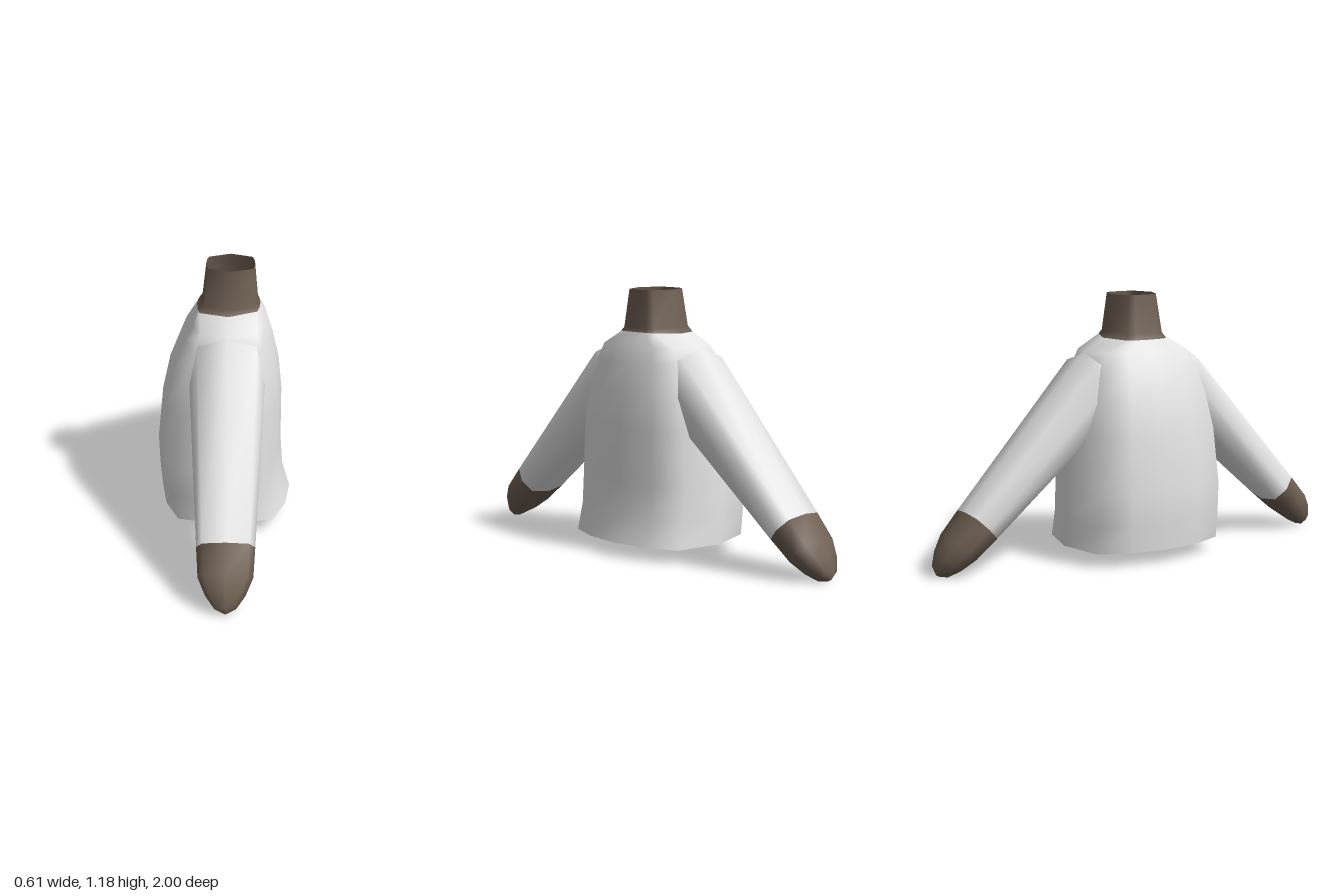
import * as THREE from 'three';

const white = new THREE.MeshStandardMaterial({ color: 0xe4e4e4, side: THREE.DoubleSide });
white.name = 'white cloth';
const brown = new THREE.MeshStandardMaterial({ color: 0x6f6053, side: THREE.DoubleSide });
brown.name = 'brown trim';

// Full outline from one quarter, listed from (1, 0) to (0, 1)
function outline(quarter) {
  const n = quarter.length - 1;
  const pts = [];
  for (let i = 0; i < n * 4; i++) {
    const q = Math.floor(i / n), k = i % n;
    const [a, b] = quarter[q % 2 ? n - k : k];
    pts.push([q === 1 || q === 2 ? -a : a, q >= 2 ? -b : b]);
  }
  return pts;
}

// Smooth open skin through rings of equal point count
function loft(name, rings, material) {
  const n = rings[0].length, index = [];
  for (let j = 0; j < rings.length - 1; j++) {
    for (let i = 0; i < n; i++) {
      const a = j * n + i, b = j * n + (i + 1) % n;
      index.push(a, a + n, b, b, a + n, b + n);
    }
  }
  const geo = new THREE.BufferGeometry();
  geo.setAttribute('position', new THREE.Float32BufferAttribute(rings.flat(2), 3));
  geo.setIndex(index);
  geo.computeVertexNormals();
  const mesh = new THREE.Mesh(geo, material);
  mesh.name = name;
  return mesh;
}

const bodyShape = outline([[1, 0], [0.92, 0.47], [0.72, 0.86], [0, 1]]);
const neckShape = outline([[1, 0], [0.97, 0.38], [0.9, 0.66], [0, 1]]);
const armShape = outline([[1, 0], [0.79, 0.8], [0, 1]]);

// Level ring: height, right edge, left edge, half depth, lean of the seam
const levelRing = (shape, [y, x0, x1, d, lean = 0]) =>
  shape.map(([u, v]) => [(x0 + x1) / 2 + u * (x1 - x0) / 2, y + lean * u, v * d]);

// Sleeve ring: top z, y, bottom z, y, half width
const sleeveRing = ([tz, ty, bz, by, w]) =>
  armShape.map(([u, v]) => [u * w, (ty + by) / 2 + v * (by - ty) / 2, (tz + bz) / 2 + v * (bz - tz) / 2]);

function createArm(name) {
  const arm = new THREE.Group();
  arm.name = name;
  const cuff = [0.85, 0.28, 0.73, 0.157, 0.125];
  const sleeve = [
    [0.16, 0.93, 0.2, 0.57, 0.15],
    [0.265, 0.932, 0.3, 0.53, 0.165],
    cuff,
  ];
  const mitt = [
    cuff,
    [0.935, 0.18, 0.83, 0.075, 0.117],
    [0.975, 0.115, 0.895, 0.03, 0.085],
    [0.998, 0.055, 0.945, 0.006, 0.045],
    [0.99, 0.018, 0.972, 0.008, 0.003],
  ];
  arm.add(loft('sleeve', sleeve.map(sleeveRing), white));
  arm.add(loft('mitt', mitt.map(sleeveRing), brown));
  arm.position.x = 0.015;
  return arm;
}

export function createModel() {
  const model = new THREE.Group();
  model.name = 'sweater';

  // Body, open at the hem
  const seam = [0.997, -0.122, 0.16, 0.155, 0.005];
  const body = [
    [0.067, -0.29, 0.305, 0.365],
    [0.19, -0.3, 0.27, 0.365],
    [0.33, -0.305, 0.26, 0.365],
    [0.58, -0.28, 0.26, 0.345],
    [0.74, -0.245, 0.245, 0.315],
    [0.87, -0.192, 0.215, 0.28],
    [0.94, -0.15, 0.192, 0.245],
  ].map(r => levelRing(bodyShape, r));
  body.push(levelRing(neckShape, seam));
  model.add(loft('body', body, white));

  // Open collar
  const collar = [seam, [1.02, -0.1, 0.15, 0.138], [1.19, -0.08, 0.135, 0.108]];
  model.add(loft('collar', collar.map(r => levelRing(neckShape, r)), brown));

  // Arms reach forward and back
  model.add(createArm('frontArm'));
  const back = createArm('backArm');
  back.rotation.y = Math.PI;
  model.add(back);
  return model;
}
